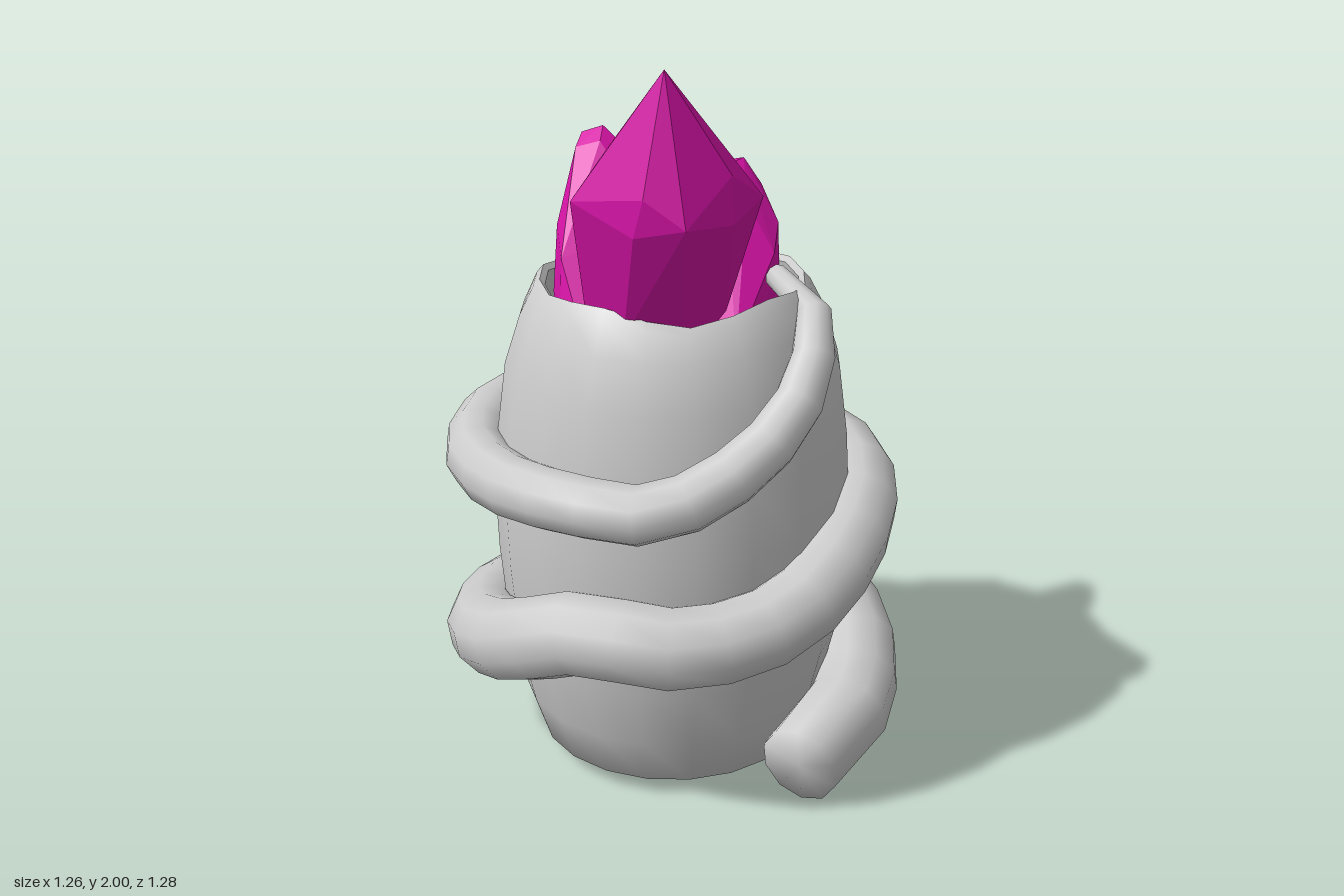
import * as THREE from 'three';
import { mergeVertices, toCreasedNormals } from 'three/addons/utils/BufferGeometryUtils.js';
import { ConvexGeometry } from 'three/addons/geometries/ConvexGeometry.js';

const grey = new THREE.MeshStandardMaterial({ color: 0xcccccc });
const pink = new THREE.MeshStandardMaterial({ color: 0xd814a8, flatShading: true });
const vectors = (list) => list.map((p) => new THREE.Vector3(...p));

// Drops normals and texture coordinates so that the seams can be welded
function weld(geo) {
  geo.deleteAttribute('normal');
  geo.deleteAttribute('uv');
  return mergeVertices(geo, 1e-4);
}

// Hollow, open-ended barrel with a slightly chipped rim
function makePot() {
  const profile = [
    [0.34, 0.06], [0.355, 0.035], [0.375, 0.045], [0.42, 0.18], [0.46, 0.35], [0.482, 0.6],
    [0.487, 0.75], [0.475, 0.95], [0.45, 1.14], [0.408, 1.27], [0.37, 1.345], [0.352, 1.365],
    [0.338, 1.35], [0.36, 1.25], [0.41, 1.1], [0.44, 0.75], [0.41, 0.35], [0.34, 0.06],
  ].map(([r, y]) => new THREE.Vector2(r, y));
  const geo = new THREE.LatheGeometry(profile, 20);
  const pos = geo.attributes.position;
  for (let i = 0; i < pos.count; i++) {
    const y = pos.getY(i);
    if (y < 1.32) continue;
    const a = Math.atan2(pos.getZ(i), pos.getX(i));
    pos.setY(i, y + 0.014 * Math.sin(5 * a) + 0.01 * Math.cos(3 * a));
  }
  return new THREE.Mesh(toCreasedNormals(weld(geo), 0.9), grey);
}

// Tapering tentacle winding up around the barrel: x, y, z, radius
function makeTentacle() {
  const path = [
    [0.49, 0.107, 0.185, 0.1], [0.505, 0.118, 0.08, 0.11], [0.5, 0.155, -0.12, 0.128],
    [0.4, 0.24, -0.34, 0.128], [0.2, 0.32, -0.49, 0.12],
    [-0.06, 0.345, -0.525, 0.115], [-0.32, 0.32, -0.41, 0.115],
    [-0.49, 0.3, -0.18, 0.114], [-0.515, 0.32, 0.08, 0.114], [-0.4, 0.37, 0.34, 0.114],
    [-0.2, 0.455, 0.49, 0.113], [0.02, 0.55, 0.525, 0.112], [0.27, 0.535, 0.45, 0.11],
    [0.45, 0.57, 0.26, 0.108], [0.515, 0.67, 0.02, 0.107], [0.45, 0.755, -0.25, 0.107],
    [0.27, 0.78, -0.44, 0.106], [0.02, 0.755, -0.51, 0.105], [-0.24, 0.77, -0.45, 0.103],
    [-0.45, 0.82, -0.26, 0.1], [-0.53, 0.89, 0, 0.096], [-0.46, 0.88, 0.27, 0.092],
    [-0.26, 0.89, 0.45, 0.086], [0, 0.915, 0.53, 0.08], [0.22, 0.92, 0.49, 0.078],
    [0.39, 1.025, 0.32, 0.073], [0.455, 1.16, 0.16, 0.064], [0.43, 1.29, 0.03, 0.052],
    [0.36, 1.365, -0.06, 0.038], [0.29, 1.375, -0.11, 0.03], [0.21, 1.35, -0.15, 0.027],
  ];
  const curve = new THREE.CatmullRomCurve3(vectors(path.map((p) => p.slice(0, 3))));
  const rings = 56, sides = 10;
  const geo = new THREE.TubeGeometry(curve, rings, 1, sides);
  const pos = geo.attributes.position;
  const v = new THREE.Vector3();
  for (let i = 0; i <= rings; i++) {
    const t = curve.getUtoTmapping(i / rings) * (path.length - 1);
    const k = Math.min(Math.floor(t), path.length - 2);
    // The outermost rings close to a point, and their neighbours move out to form blunt caps
    const cap = i === 0 || i === rings;
    const radius = cap ? 0 : THREE.MathUtils.lerp(path[k][3], path[k + 1][3], t - k);
    const centre = curve.getPointAt(i / rings);
    const u = i === 1 ? 0 : i === rings - 1 ? 1 - 0.25 / rings : i / rings;
    const target = curve.getPointAt(u);
    for (let j = 0; j <= sides; j++) {
      const n = i * (sides + 1) + j;
      v.fromBufferAttribute(pos, n).sub(centre).multiplyScalar(radius).add(target);
      pos.setXYZ(n, v.x, v.y, v.z);
    }
  }
  const welded = weld(geo);
  welded.computeVertexNormals();
  return new THREE.Mesh(welded, grey);
}

// Faceted crystals, each the hull of a few corners
const crystals = {
  largeCrystal: [
    [0.18, 2, 0.37], [0, 1.84, 0.1], [-0.08, 1.74, 0.2],
    [-0.11, 1.57, 0.13], [-0.06, 1.66, 0.41], [0.16, 1.7, 0.44], [0.13, 1.6, 0.435],
    [0.26, 1.63, 0.41], [0.31, 1.74, 0.27], [0.33, 1.66, 0.14], [0.32, 1.62, 0.28],
    [0.2, 1.67, 0.06], [0.07, 1.68, 0.04],
    [-0.12, 1.3, 0.08], [-0.09, 1.3, 0.29], [0.04, 1.3, 0.33], [0.17, 1.3, 0.26],
    [0.17, 1.3, 0.02], [0.05, 1.3, -0.06],
    [-0.08, 1.15, 0.08], [-0.05, 1.15, 0.22], [0.1, 1.15, 0.2], [0.05, 1.15, 0],
  ],
  leftCrystal: [
    [-0.335, 1.69, -0.1], [-0.28, 1.71, -0.12], [-0.26, 1.68, -0.07], [-0.325, 1.66, -0.05],
    [-0.13, 1.59, -0.13], [-0.08, 1.5, -0.02], [-0.345, 1.46, 0.02], [-0.24, 1.42, 0.17],
    [-0.05, 1.42, -0.18], [-0.345, 1.34, -0.02], [-0.31, 1.3, 0.1], [-0.22, 1.2, 0.22],
    [-0.1, 1.2, 0.27], [0, 1.2, 0.05], [0.01, 1.25, -0.08], [-0.05, 1.2, -0.18],
    [-0.28, 1.2, -0.12],
  ],
  backCrystal: [
    [0.01, 1.61, -0.305], [0.06, 1.625, -0.29], [0.05, 1.62, -0.265], [0.015, 1.6, -0.27],
    [0.1, 1.55, -0.32], [0.17, 1.46, -0.285], [0.11, 1.53, -0.21], [-0.05, 1.45, -0.23],
    [0.2, 1.4, -0.2], [0.1, 1.44, -0.13], [0.0, 1.48, -0.17], [-0.06, 1.25, -0.21],
    [0.01, 1.25, -0.3], [0.18, 1.25, -0.28], [0.215, 1.2, -0.1], [0.2, 1.2, 0.02],
    [-0.02, 1.2, -0.02],
  ],
};

export function createModel() {
  const model = new THREE.Group();
  const add = (name, mesh) => {
    mesh.name = name;
    model.add(mesh);
  };
  add('pot', makePot());
  add('tentacle', makeTentacle());
  for (const [name, corners] of Object.entries(crystals)) {
    add(name, new THREE.Mesh(new ConvexGeometry(vectors(corners)), pink));
  }
  return model;
}
